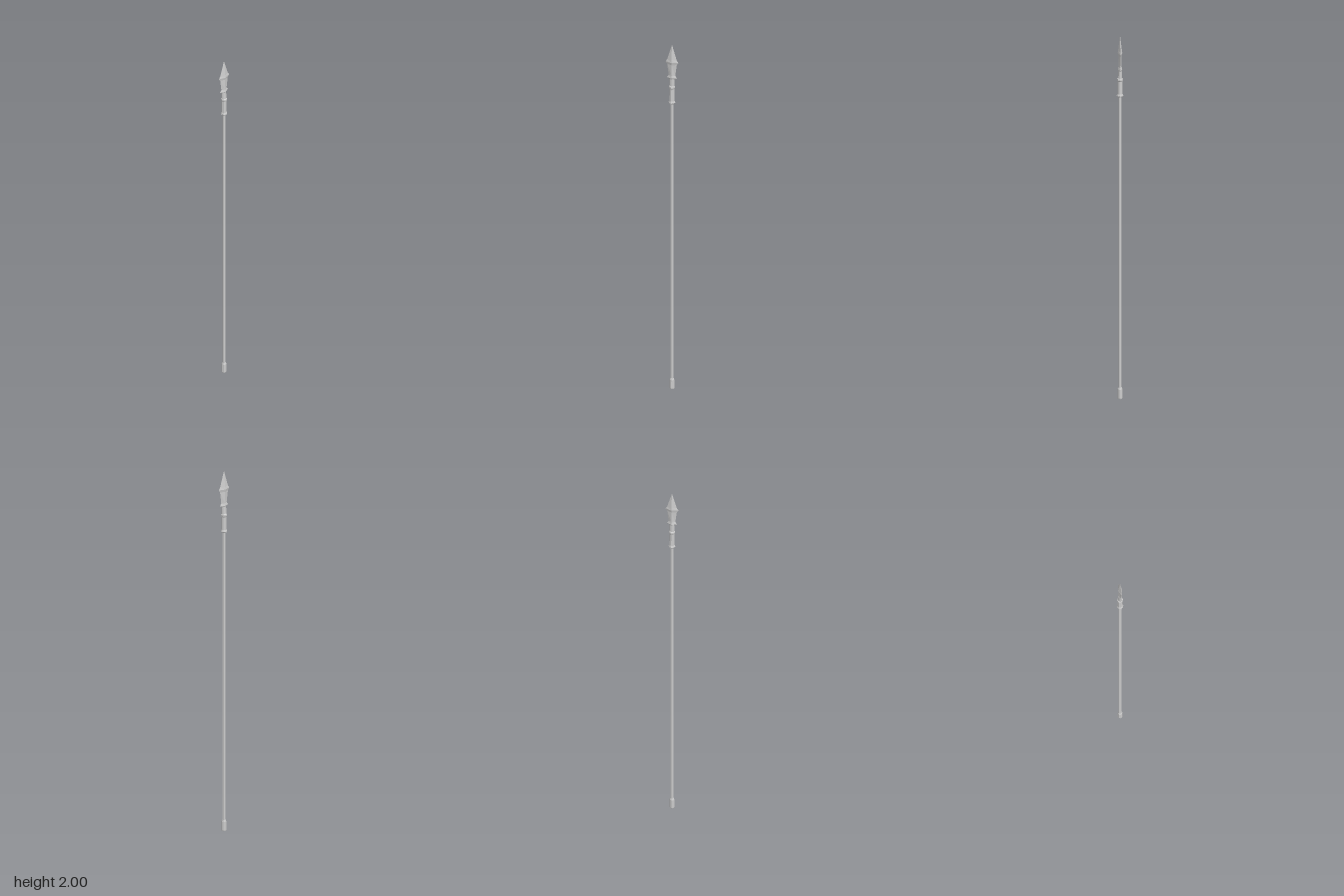
import * as THREE from 'three';

const material = new THREE.MeshStandardMaterial({ color: 0xcccccc, flatShading: true });

// Stacks cross-sections [y, halfWidthX, halfDepthZ], bottom to top, with the given number of sides
function loft(name, rows, sides) {
  const geometry = new THREE.LatheGeometry(rows.map(([y, x]) => new THREE.Vector2(x, y)), sides);
  const position = geometry.attributes.position;
  for (let i = 0; i < position.count; i++) {
    const [, x, z = x] = rows[i % rows.length];
    if (x > 0) position.setZ(i, position.getZ(i) * z / x);
  }
  geometry.computeVertexNormals();
  const mesh = new THREE.Mesh(geometry, material);
  mesh.name = name;
  return mesh;
}

// Small barb pointing outwards and slightly down
function barb(name, angle, y, inner, outer) {
  const geometry = new THREE.ConeGeometry(0.006, outer - inner, 4);
  geometry.rotateZ(-Math.PI / 2 - 0.35);
  geometry.translate((inner + outer) / 2, 0, 0);
  geometry.rotateY(angle);
  const mesh = new THREE.Mesh(geometry, material);
  mesh.position.y = y;
  mesh.name = name;
  return mesh;
}

export function createModel() {
  const spear = new THREE.Group();
  spear.name = 'spear';

  // Shaft and butt cap
  spear.add(loft('shaft', [[0.05, 0.0085], [1.67, 0.0085]], 8));
  spear.add(loft('buttCap', [
    [0, 0], [0, 0.0115], [0.004, 0.013], [0.052, 0.0125], [0.062, 0.009], [0.062, 0]
  ], 8));

  // Socket with a flared lower rim and a raised upper collar
  spear.add(loft('socket', [
    [1.66, 0], [1.66, 0.014], [1.665, 0.017], [1.675, 0.0135], [1.745, 0.0125],
    [1.75, 0.0155], [1.759, 0.0155], [1.763, 0.011], [1.763, 0]
  ], 8));
  for (let i = 0; i < 4; i++) {
    spear.add(barb('socketBarb', i * Math.PI / 2, 1.665, 0.008, 0.021));
  }

  // Neck between the socket and the blade
  spear.add(loft('neck', [
    [1.755, 0.014, 0.011], [1.8, 0.0135, 0.009], [1.83, 0.011, 0.008], [1.9, 0, 0]
  ], 8));

  // Diamond-section blade with a lower guard and wide shoulders
  spear.add(loft('blade', [
    [1.795, 0, 0], [1.8, 0.016, 0.009], [1.808, 0.027, 0.012], [1.822, 0.018, 0.009],
    [1.885, 0.026, 0.009], [1.899, 0.035, 0.012], [1.912, 0.026, 0.01], [2, 0, 0]
  ], 4));

  return spear;
}
